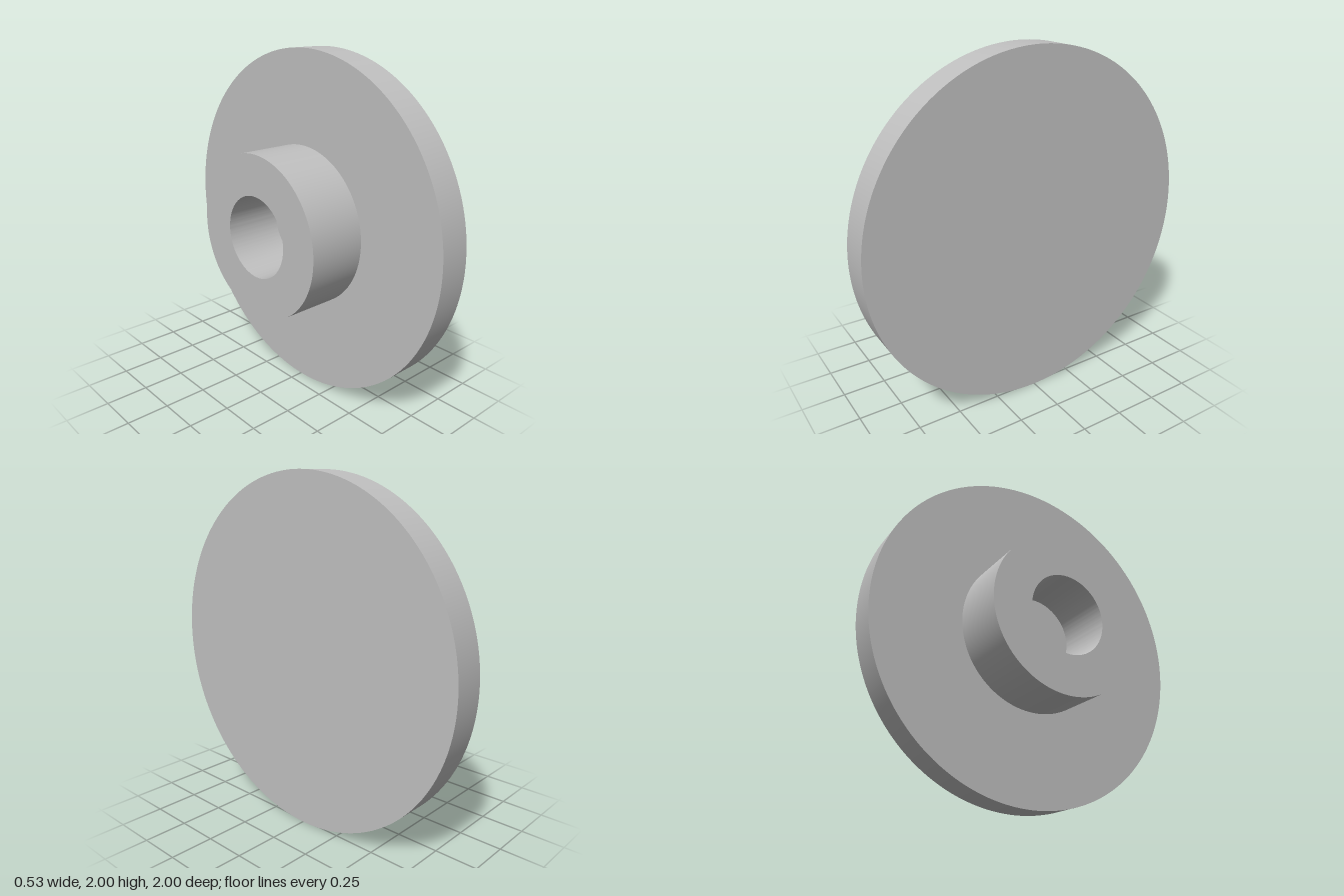
import * as THREE from 'three';
import { toCreasedNormals } from 'three/addons/utils/BufferGeometryUtils.js';

const SEGMENTS = 96;
const CENTER_Y = 1;

// Round plate or ring lying along x, from x0 to x1, with an optional bore
function ring(name, x0, x1, radius, bore, material) {
  const shape = new THREE.Shape().absarc(0, 0, radius, 0, Math.PI * 2, false);
  if (bore > 0) {
    shape.holes.push(new THREE.Path().absarc(0, 0, bore, 0, Math.PI * 2, true));
  }
  const solid = new THREE.ExtrudeGeometry(shape, {
    depth: x1 - x0, bevelEnabled: false, curveSegments: SEGMENTS,
  });
  solid.rotateY(Math.PI / 2);
  const mesh = new THREE.Mesh(toCreasedNormals(solid, Math.PI / 6), material);
  mesh.name = name;
  mesh.position.set(x0, CENTER_Y, 0);
  return mesh;
}

export function createModel() {
  const metal = new THREE.MeshStandardMaterial({ color: 0xbfbfbf });
  metal.name = 'light grey metal';

  const model = new THREE.Group();
  model.name = 'flangedHub';

  // Wide solid disc, and the hub whose bore ends at the disc
  model.add(ring('flangeDisc', 0.08, 0.267, 1, 0, metal));
  model.add(ring('hub', -0.267, 0.08, 0.47, 0.236, metal));
  return model;
}
